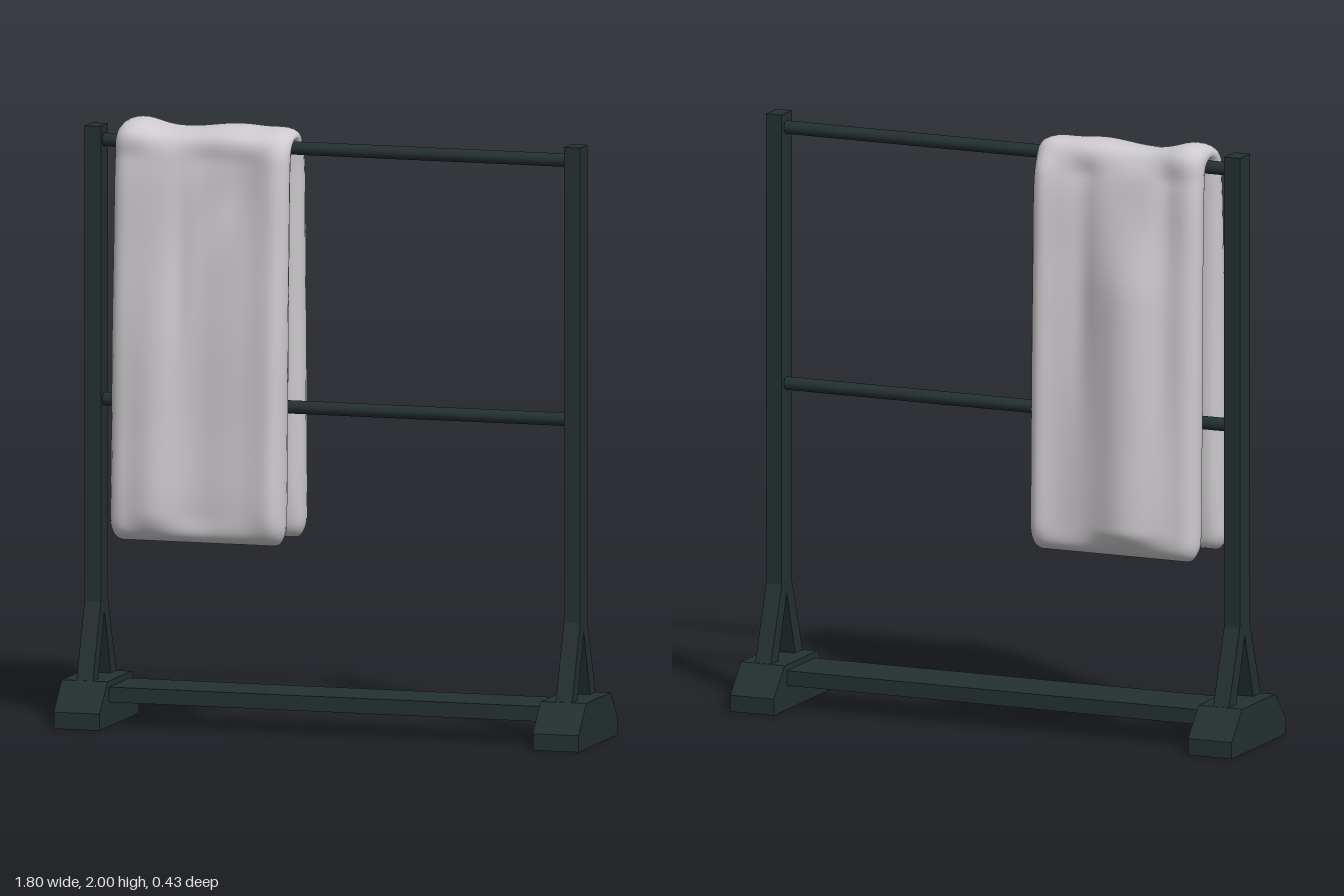
import * as THREE from 'three';
import { mergeVertices } from 'three/addons/utils/BufferGeometryUtils.js';

const frameMat = new THREE.MeshStandardMaterial({ color: 0x243130 });
frameMat.name = 'dark green frame';
const towelMat = new THREE.MeshStandardMaterial({ color: 0xcdcacd });
towelMat.name = 'pale grey cloth';

function add(parent, name, geometry, material) {
  const mesh = new THREE.Mesh(geometry, material);
  mesh.name = name;
  parent.add(mesh);
  return mesh;
}

// Extrudes a z-y outline along x, centred on x = 0
function slab(points, width) {
  const shape = new THREE.Shape(points.map(([z, y]) => new THREE.Vector2(z, y)));
  const geo = new THREE.ExtrudeGeometry(shape, { depth: width, bevelEnabled: false });
  geo.translate(0, 0, -width / 2);
  geo.rotateY(-Math.PI / 2);
  return geo;
}

const gauss = (x, centre, spread) => Math.exp(-(((x - centre) / spread) ** 2));
const smooth = THREE.MathUtils.smoothstep;

// How far the outer cloth face swells or dips at a point
function fold(x, y, front) {
  const hem = smooth(y, 0.62, 0.72);
  const top = smooth(y, 1.88, 1.96);
  const crest = 0.008 * Math.sin(x * 17 + 1) + 0.012 * gauss(x, -0.66, 0.06) + 0.008 * gauss(x, -0.19, 0.05);
  let side;
  if (front) {
    side = 0.022 * gauss(x, -0.58, 0.07) * (1 - smooth(y, 0.8, 1.9))
      + 0.014 * gauss(x, -0.18, 0.06)
      - 0.012 * gauss(x, -0.43, 0.08)
      - 0.022 * gauss(x, -0.3 + (y - 1.8) * 0.3, 0.07) * gauss(y, 1.78, 0.13)
      - 0.01 * gauss(x, -0.5, 0.03) * gauss(y, 1.5, 0.3);
  } else {
    side = 0.055 * gauss(x, -0.5, 0.12) * (1 - smooth(y, 1.48, 1.85))
      + 0.018 * gauss(x, -0.17, 0.05)
      - 0.016 * gauss(x, -0.32, 0.05) * smooth(y, 0.9, 1.5)
      - 0.012 * gauss(x, -0.62, 0.04) * smooth(y, 0.8, 1.3);
  }
  return hem * THREE.MathUtils.lerp(side, crest, top);
}

// Thick cloth hung over the rail: flattened loops swept between an outer and an inner curve
function towelGeometry() {
  const curve = pts => new THREE.CatmullRomCurve3(pts.map(([z, y]) => new THREE.Vector3(0, y, z)));
  const outer = curve([[0.11, 0.62], [0.155, 0.645], [0.167, 0.73], [0.156, 1], [0.145, 1.3], [0.122, 1.6],
    [0.105, 1.85], [0.082, 1.95], [0, 1.982], [-0.08, 1.97], [-0.118, 1.87], [-0.13, 1.6], [-0.14, 1.3],
    [-0.146, 1], [-0.15, 0.73], [-0.145, 0.645], [-0.11, 0.62]]);
  const inner = curve([[0.11, 0.62], [0.072, 0.64], [0.055, 0.73], [0.046, 1], [0.044, 1.3], [0.04, 1.6],
    [0.034, 1.85], [0.026, 1.92], [0, 1.94], [-0.026, 1.92], [-0.034, 1.85], [-0.04, 1.6], [-0.042, 1.3],
    [-0.044, 1], [-0.05, 0.73], [-0.07, 0.64], [-0.11, 0.62]]);

  // Loop as [flat, end, v]: position on the flat, rounded-end offset, outer (1) to inner (-1)
  const loop = [];
  const flats = 32, ends = 8;
  for (let j = 0; j < flats; j++) loop.push([1 - 2 * j / flats, 0, 1]);
  for (let j = 0; j < ends; j++) loop.push([-1, -Math.sin(Math.PI * j / ends), Math.cos(Math.PI * j / ends)]);
  for (let j = 0; j < flats; j++) loop.push([-1 + 2 * j / flats, 0, -1]);
  for (let j = 0; j < ends; j++) loop.push([1, Math.sin(Math.PI * j / ends), -Math.cos(Math.PI * j / ends)]);

  const stations = 112, n = loop.length, radius = 0.045;
  const pos = [], idx = [];
  for (let i = 0; i <= stations; i++) {
    const t = i / stations;
    const o = outer.getPoint(t), k = inner.getPoint(t);
    const out = o.clone().sub(k).normalize();
    const rise = Math.min(1, ((o.y + k.y) / 2 - 0.62) / 0.07);
    const half = 0.3 - 0.04 * (1 - Math.sqrt(Math.max(0, 1 - (1 - rise) ** 2)));
    for (const [flat, end, v] of loop) {
      const x = -0.435 + flat * (half - radius) + end * radius;
      const p = k.clone().lerp(o, (v + 1) / 2);
      p.addScaledVector(out, fold(x, o.y, t < 0.5) * (v + 1) / 2);
      pos.push(x, p.y, p.z);
    }
  }
  for (let i = 0; i < stations; i++) {
    for (let j = 0; j < n; j++) {
      const a = i * n + j, b = i * n + (j + 1) % n;
      idx.push(a, a + n, b, b, a + n, b + n);
    }
  }
  const geo = new THREE.BufferGeometry();
  geo.setAttribute('position', new THREE.Float32BufferAttribute(pos, 3));
  geo.setIndex(idx);
  const welded = mergeVertices(geo, 1e-5);
  welded.computeVertexNormals();
  return welded;
}

export function createModel() {
  const model = new THREE.Group();
  model.name = 'towelRack';

  // Feet and forked posts, mirrored
  const footOutline = [[-0.215, 0], [0.215, 0], [0.215, 0.055], [0.13, 0.15], [-0.13, 0.15], [-0.215, 0.055]];
  const postOutline = [[-0.04, 1.97], [-0.04, 0.4], [-0.13, 0.14], [-0.07, 0.14], [0, 0.365],
    [0.07, 0.14], [0.13, 0.14], [0.04, 0.4], [0.04, 1.97]];
  for (const side of [-1, 1]) {
    const label = side > 0 ? 'left' : 'right';
    add(model, label + 'Foot', slab(footOutline, 0.157), frameMat).position.x = side * 0.8215;
    add(model, label + 'Post', slab(postOutline, 0.056), frameMat).position.x = side * 0.822;
  }

  // Plank joining the feet
  add(model, 'basePlank', new THREE.BoxGeometry(1.5, 0.05, 0.22), frameMat).position.y = 0.105;

  // Round rails
  for (const [name, y] of [['topRail', 1.922], ['middleRail', 1.066]]) {
    const rail = add(model, name, new THREE.CylinderGeometry(0.022, 0.022, 1.6, 20), frameMat);
    rail.rotation.z = Math.PI / 2;
    rail.position.y = y;
  }

  add(model, 'towel', towelGeometry(), towelMat);
  return model;
}
